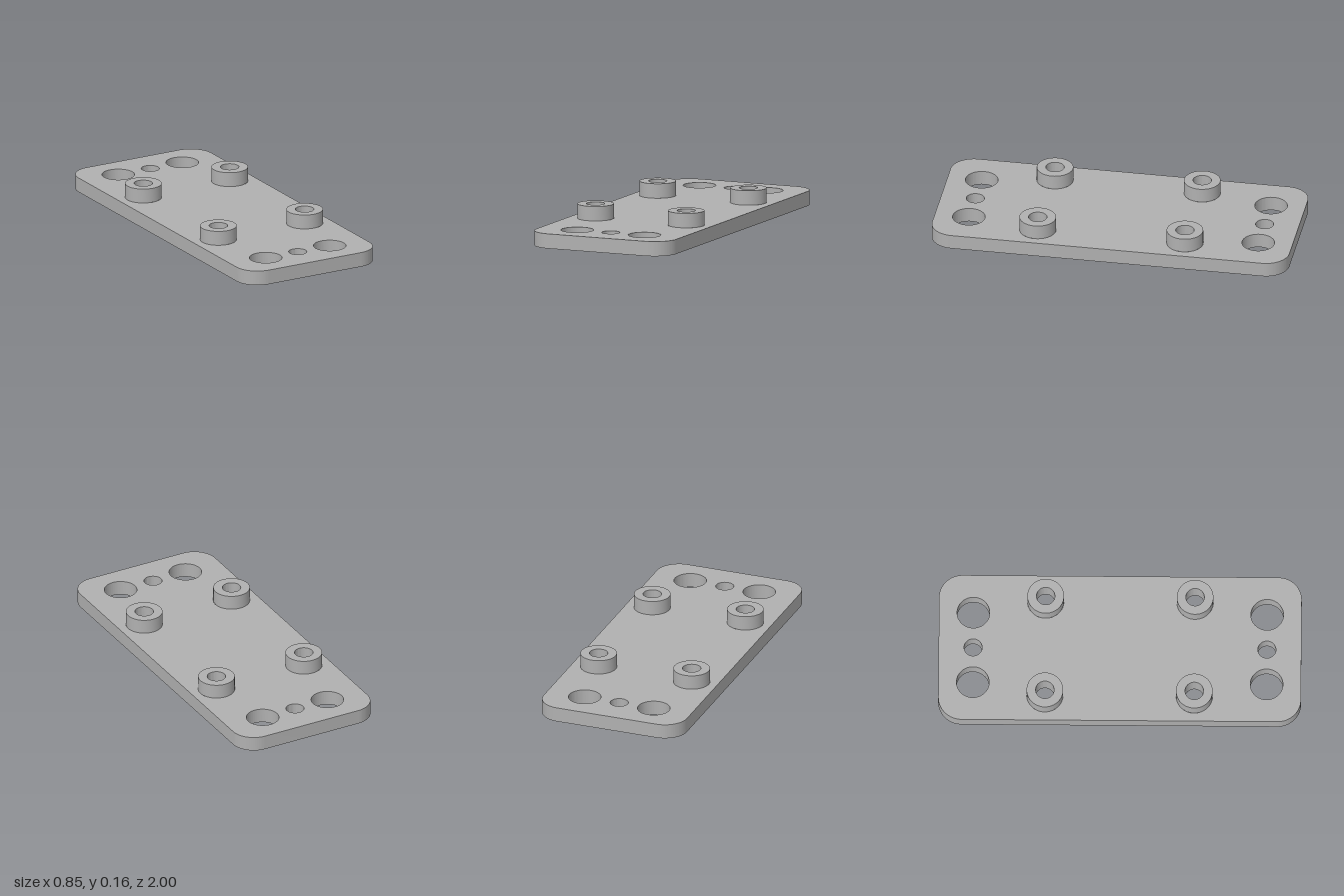
import * as THREE from 'three';
import { toCreasedNormals } from 'three/addons/utils/BufferGeometryUtils.js';

const HALF_W = 0.423, HALF_L = 1, CORNER = 0.13;
const PLATE_TOP = 0.082, BOSS_TOP = 0.163;
const BOSS_R = 0.101, BORE_R = 0.051, SINK_DEPTH = 0.05;
const SEGMENTS = 48;

export function createModel() {
  const group = new THREE.Group();
  group.name = 'mountingPlate';
  const grey = new THREE.MeshStandardMaterial({ color: 0xb0b0b0 });
  grey.name = 'grey';

  // rounded plate outline
  const w = HALF_W - CORNER, l = HALF_L - CORNER;
  const outline = new THREE.Shape();
  outline.absarc(w, l, CORNER, 0, Math.PI / 2);
  outline.absarc(-w, l, CORNER, Math.PI / 2, Math.PI);
  outline.absarc(-w, -l, CORNER, Math.PI, Math.PI * 1.5);
  outline.absarc(w, -l, CORNER, Math.PI * 1.5, Math.PI * 2);
  outline.closePath();

  const addHole = (x, z, r) => {
    const hole = new THREE.Path();
    hole.absarc(x, z, r, 0, Math.PI * 2, true);
    outline.holes.push(hole);
  };

  // hollow boss with a countersink that opens through the plate underside
  const bossGeometry = toCreasedNormals(new THREE.LatheGeometry([
    new THREE.Vector2(BOSS_R, PLATE_TOP),
    new THREE.Vector2(BOSS_R, BOSS_TOP),
    new THREE.Vector2(BORE_R, BOSS_TOP),
    new THREE.Vector2(BORE_R, SINK_DEPTH),
    new THREE.Vector2(BOSS_R, 0),
  ], SEGMENTS), 0.5);

  for (const end of [-1, 1]) {
    addHole(0, end * 0.81, 0.05);
    for (const side of [-1, 1]) {
      addHole(side * 0.204, end * 0.81, 0.09);
      addHole(side * 0.275, end * 0.412, BOSS_R);
      const boss = new THREE.Mesh(bossGeometry, grey);
      boss.name = `${end > 0 ? 'front' : 'back'}${side > 0 ? 'Left' : 'Right'}Boss`;
      boss.position.set(side * 0.275, 0, end * 0.412);
      group.add(boss);
    }
  }

  // plate with all its holes
  const plateGeometry = new THREE.ExtrudeGeometry(outline, {
    depth: PLATE_TOP, bevelEnabled: false, curveSegments: SEGMENTS,
  }).rotateX(-Math.PI / 2);
  const plate = new THREE.Mesh(toCreasedNormals(plateGeometry, 0.5), grey);
  plate.name = 'plate';
  group.add(plate);

  return group;
}
